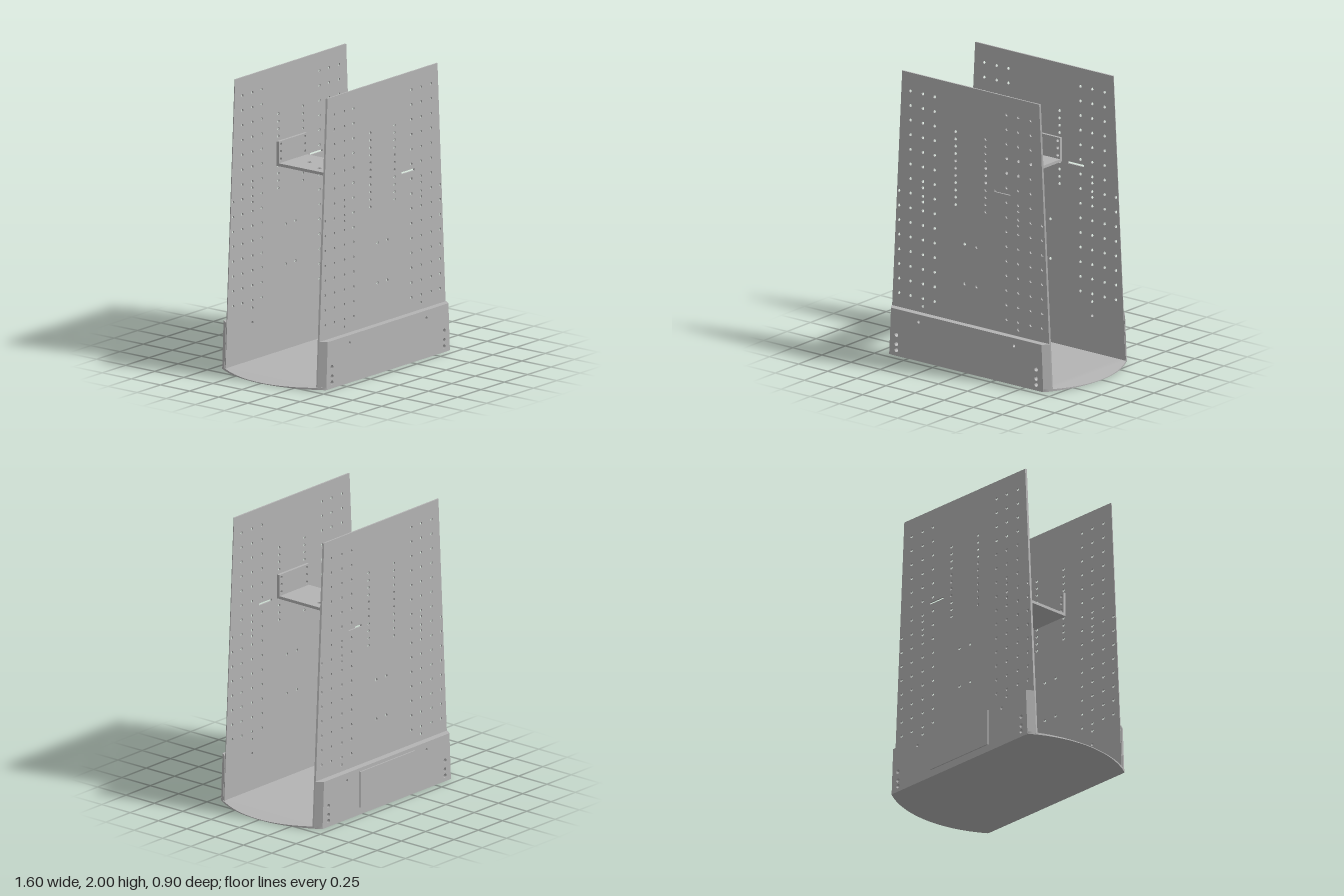
import * as THREE from 'three';

const R = 0.8;            // radius of the base disc
const HALF_Z = 0.4475;    // flat sides of the base
const metal = new THREE.MeshStandardMaterial({ color: 0xb4b4b4 });
metal.name = 'grey metal';

function circleHole(x, y, r) {
  const path = new THREE.Path();
  path.absarc(x, y, r, 0, Math.PI * 2, true);
  return path;
}

// Upright plate: trapezoid outline with holes, ends cut back by `bevel` on the outer face
function plate(y0, y1, w0, w1, depth, bevel, holes) {
  const shape = new THREE.Shape([[-w0, y0], [w0, y0], [w1, y1], [-w1, y1]].map(p => new THREE.Vector2(...p)));
  shape.holes = holes;
  const geo = new THREE.ExtrudeGeometry(shape, { depth, bevelEnabled: false, curveSegments: 6 });
  const p = geo.attributes.position;
  for (let i = 0; i < p.count; i++) {
    const x = p.getX(i), edge = w0 + (w1 - w0) * (p.getY(i) - y0) / (y1 - y0);
    if (p.getZ(i) > depth / 2 && Math.abs(Math.abs(x) - edge) < 1e-4) p.setX(i, x - Math.sign(x) * bevel);
  }
  geo.computeVertexNormals();
  return geo;
}

// Hole pattern of a side panel; s = -1 for the panel that is turned round
function panelHoles(s) {
  const holes = [], r = 0.011;
  const pair = (x, y) => { for (const m of [-1, 1]) holes.push(circleHole(m * x, y, r)); };
  for (let i = 0; i < 15; i++) {
    const y = 1.872 - i * 0.103;
    for (const x of [0.31, 0.41, 0.517]) pair(x, y);
    if (y < 1.16) pair(0.615, y);
  }
  for (const y of [1.21, 1.11, 0.376, 0.276]) pair(0.41, y);
  for (let i = 0; i < 11; i++) pair(0.13, 1.664 - i * 0.0514);
  for (const y of [0.886, 0.607]) pair(0.052, y);
  const slot = [[0.205, 1.308], [0.34, 1.308], [0.34, 1.323], [0.205, 1.323]];
  holes.push(new THREE.Path(slot.map(([x, y]) => new THREE.Vector2(s * x, y))));
  return holes;
}

// Low base: a disc with two flat sides, its top falling away at the round ends
function baseGeometry() {
  let geo = new THREE.BoxGeometry(2, 2, 2, 64, 1, 1);
  const p = geo.attributes.position;
  for (let i = 0; i < p.count; i++) {
    const x = R * Math.sin(p.getX(i) * Math.PI / 2);
    const z = Math.min(HALF_Z, Math.sqrt(Math.max(0, R * R - x * x)));
    const top = 0.018 - 0.013 * Math.max(0, (Math.abs(x) - 0.67) / 0.13);
    p.setXYZ(i, x, p.getY(i) > 0 ? top : 0, z * Math.sign(p.getZ(i)));
  }
  geo.computeVertexNormals();
  return geo;
}

export function createModel() {
  const model = new THREE.Group();
  model.name = 'perforatedStand';
  const body = new THREE.Group();
  body.name = 'body';
  body.position.z = 0.0045;
  model.add(body);
  const add = (parent, geo, name, x = 0, y = 0, z = 0) => {
    const mesh = new THREE.Mesh(geo, metal);
    mesh.name = name;
    mesh.position.set(x, y, z);
    parent.add(mesh);
    return mesh;
  };

  add(body, baseGeometry(), 'base');

  // Front and back sides: panel, foot block and bracket flange
  for (const s of [1, -1]) {
    const side = new THREE.Group();
    side.name = s > 0 ? 'frontSide' : 'backSide';
    if (s < 0) side.rotation.y = Math.PI;
    body.add(side);

    add(side, plate(0.01, 2, 0.697, 0.594, 0.011, 0.006, panelHoles(s)), 'panel', 0, 0, 0.389);

    const blockHoles = [], flangeHoles = [];
    for (const m of [-1, 1]) {
      for (const y of [0.148, 0.083, 0.04]) blockHoles.push(circleHole(m * 0.6, y, 0.015));
      blockHoles.push(circleHole(m * 0.41, 0.276, 0.011));
      for (const y of [1.355, 1.407, 1.458]) flangeHoles.push(circleHole(m * 0.13, y, 0.011));
    }
    add(side, plate(0.005, 0.33, 0.695, 0.68, 0.0475, 0.034, blockHoles), 'footBlock', 0, 0, 0.4);
    add(side, plate(1.33, 1.48, 0.152, 0.152, 0.02, 0, flangeHoles), 'bracketFlange', 0, 0, 0.369);
  }

  // Bracket shelf between the panels
  const shelf = new THREE.Shape([[-0.152, -0.389], [0.152, -0.389], [0.152, 0.389], [-0.152, 0.389]]
    .map(p => new THREE.Vector2(...p)));
  shelf.holes.push(circleHole(0, 0, 0.042), circleHole(0, 0.23, 0.016));
  for (const x of [-0.08, 0.08]) for (const z of [-0.08, 0.08]) shelf.holes.push(circleHole(x, z, 0.015));
  const shelfGeo = new THREE.ExtrudeGeometry(shelf, { depth: 0.02, bevelEnabled: false, curveSegments: 16 });
  add(body, shelfGeo.rotateX(-Math.PI / 2), 'bracketShelf', 0, 1.31, 0);

  // Cover plate on the back foot block
  add(body, new THREE.BoxGeometry(0.56, 0.255, 0.009), 'backCover', 0, 0.178, -HALF_Z - 0.0045);

  return model;
}
